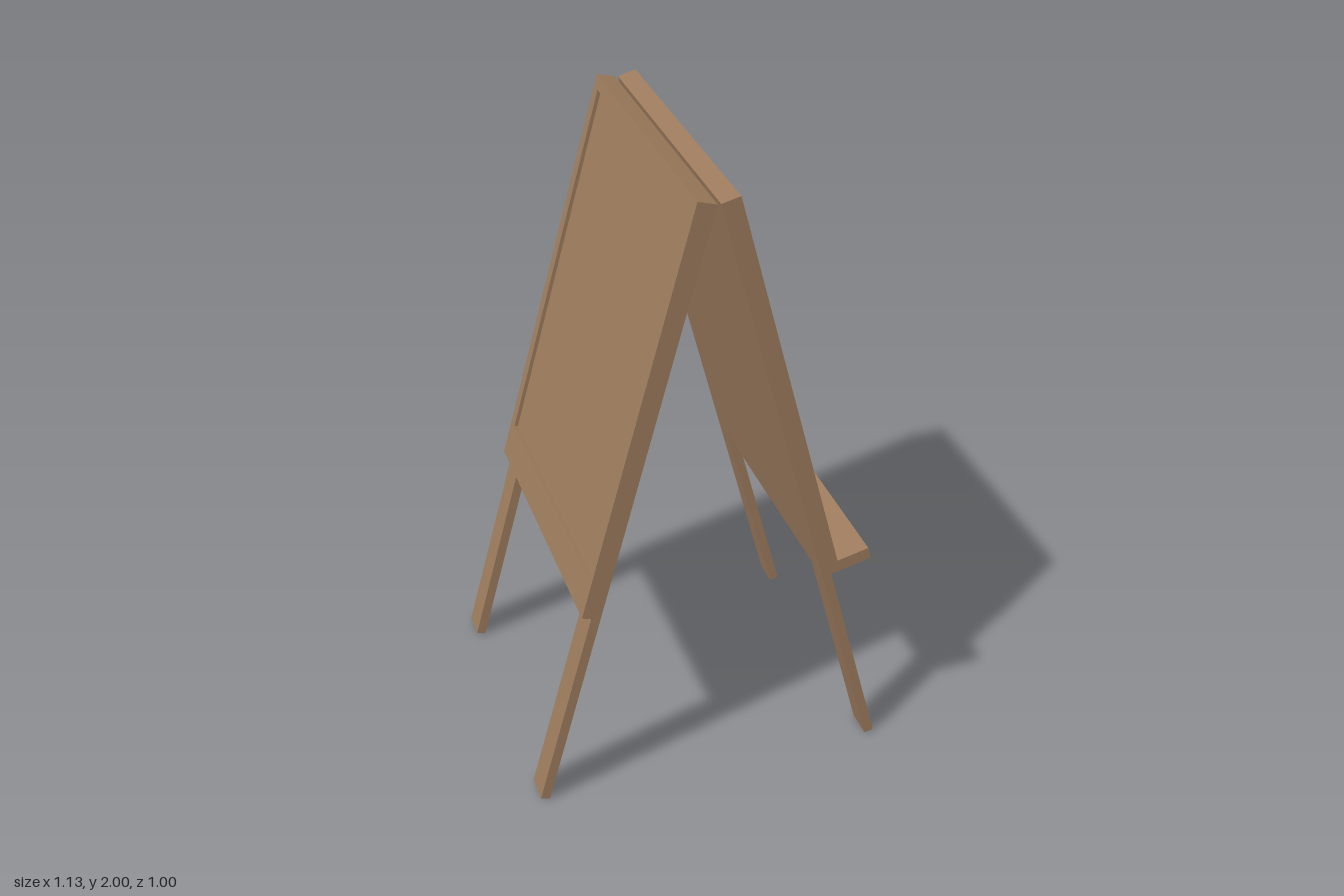
import * as THREE from 'three';

const TILT = THREE.MathUtils.degToRad(15);
const WIDTH = 1, PANEL_H = 1.366, PANEL_D = 0.06, RECESS = 0.012;
const LEG_END = 2.054, LEG_W = 0.095, LEG_D = 0.03;
// Opening in the frame, measured down from the top edge
const OPEN_W = 0.92, OPEN_TOP = 0.038, OPEN_BOTTOM = 1.243;

const wood = new THREE.MeshStandardMaterial({ color: 0x9c7a5c });
const slate = new THREE.MeshStandardMaterial({ color: 0x0e0e0e });

function rect(path, w, top, bottom) {
  path.moveTo(-w / 2, -bottom);
  path.lineTo(w / 2, -bottom);
  path.lineTo(w / 2, -top);
  path.lineTo(-w / 2, -top);
  path.closePath();
  return path;
}

// Box given by its centre x, its span down from the top, and its depth span
function slab(name, w, x, [top, bottom], [z0, z1], material = wood) {
  const mesh = new THREE.Mesh(new THREE.BoxGeometry(w, bottom - top, z1 - z0), material);
  mesh.position.set(x, -(top + bottom) / 2, (z0 + z1) / 2);
  mesh.name = name;
  return mesh;
}

// One leaning half: hinge edge at the origin, outer face towards +z
function createSide(name) {
  const side = new THREE.Group();
  side.name = name;
  const floor = PANEL_D - RECESS;

  // Backing panel and raised frame around the recess
  side.add(slab('backingPanel', WIDTH, 0, [0, PANEL_H], [0, floor]));
  const outline = rect(new THREE.Shape(), WIDTH, 0, PANEL_H);
  outline.holes.push(rect(new THREE.Path(), OPEN_W, OPEN_TOP, OPEN_BOTTOM));
  const frame = new THREE.Mesh(
    new THREE.ExtrudeGeometry(outline, { depth: RECESS, bevelEnabled: false }), wood);
  frame.position.z = floor;
  frame.name = 'frame';
  side.add(frame);

  // Two legs, flush with the inner face
  for (const s of [-1, 1]) {
    side.add(slab(s < 0 ? 'legA' : 'legB', LEG_W, s * (WIDTH - LEG_W) / 2,
      [PANEL_H, LEG_END], [0, LEG_D]));
  }
  return side;
}

export function createModel() {
  const easel = new THREE.Group();
  easel.name = 'easel';

  for (const s of [1, -1]) {
    const side = createSide(s > 0 ? 'boardSide' : 'plainSide');
    side.rotation.set(-TILT, s * Math.PI / 2, 0, 'YXZ');
    side.position.set(s * 0.005, LEG_END * Math.cos(TILT), 0);
    if (s > 0) {
      // Writing surface and chalk tray
      side.add(slab('chalkboard', OPEN_W, 0, [OPEN_TOP, OPEN_BOTTOM],
        [PANEL_D - RECESS, PANEL_D - RECESS + 0.001], slate));
      side.add(slab('tray', WIDTH, 0, [PANEL_H - 0.04, PANEL_H], [PANEL_D, 0.165]));
    }
    easel.add(side);
  }
  return easel;
}
